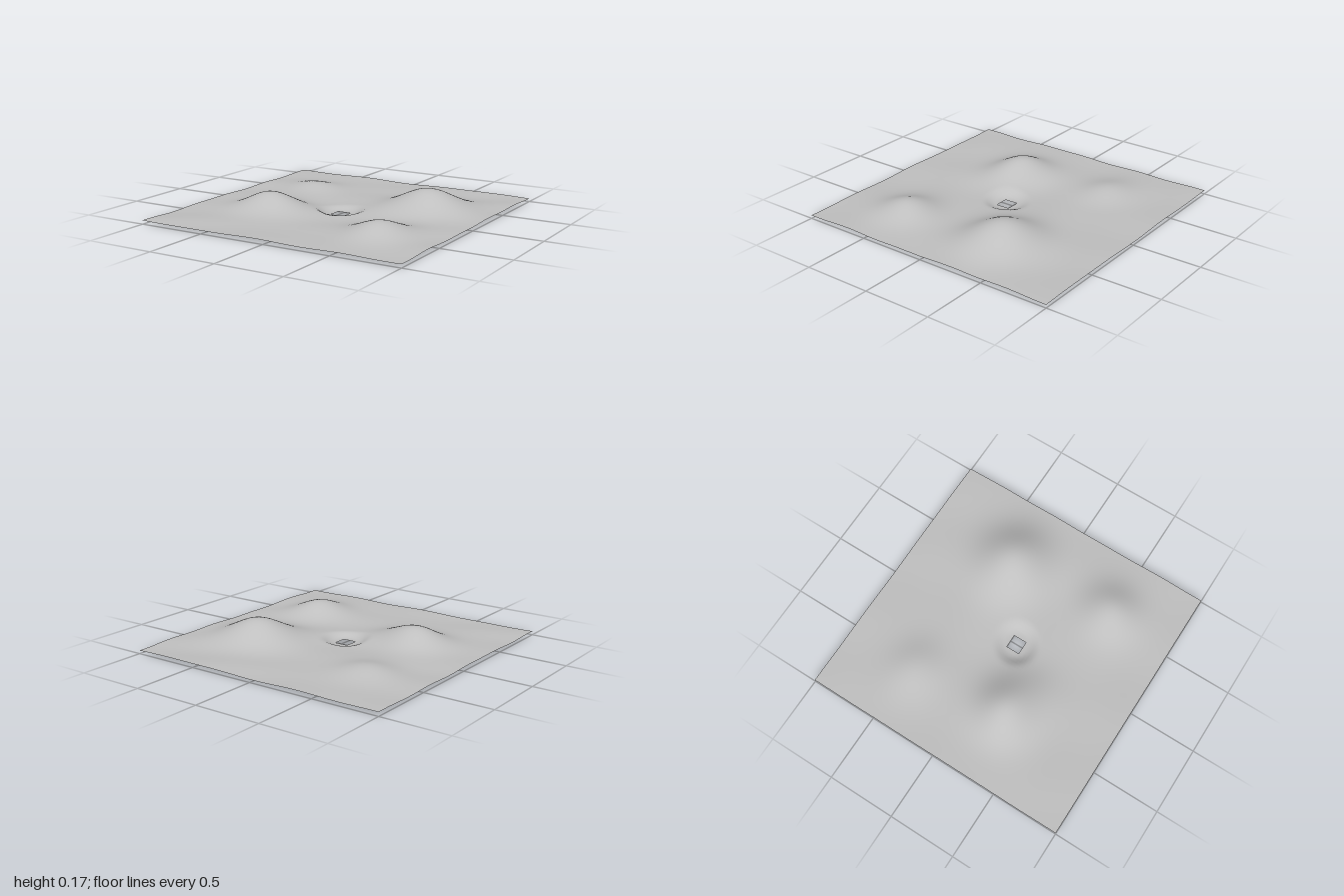
import * as THREE from 'three';

// Hills: centre x, centre z, height, spread in x, spread in z
const HILLS = [
  [0.51, -0.3, 0.147, 0.2, 0.18],
  [-0.48, 0.25, 0.114, 0.155, 0.15],
  [-0.25, 0.32, 0.03, 0.14, 0.15],
  [0.57, 0.5, 0.097, 0.145, 0.15],
  [-0.53, -0.45, 0.055, 0.15, 0.13],
];
const PIT = { x: 0, z: 0.05, inner: 0.08, outer: 0.18 };
const HOLE = 0.05; // half width of the square opening

// Ground height: gentle ripples, hills, and a round pit sinking to zero
function groundHeight(x, z) {
  let y = 0.026
    + 0.004 * Math.sin(9 * x + 2 * z + 0.5) * Math.cos(7 * z - 1.5 * x)
    + 0.002 * Math.sin(14 * z + 5 * x);
  for (const [cx, cz, h, sx, sz] of HILLS) {
    y += h * Math.exp(-0.5 * (((x - cx) / sx) ** 2 + ((z - cz) / sz) ** 2));
  }
  const r = Math.hypot(x - PIT.x, z - PIT.z);
  return y * THREE.MathUtils.smoothstep(r, PIT.inner, PIT.outer);
}

export function createModel() {
  const group = new THREE.Group();
  group.name = 'terrain';
  const ground = new THREE.MeshStandardMaterial({ color: 0xc0c0c0, side: THREE.DoubleSide });
  ground.name = 'ground grey';

  // Height field sheet
  const geometry = new THREE.PlaneGeometry(2, 2, 80, 80).rotateX(-Math.PI / 2);
  const pos = geometry.attributes.position;
  for (let i = 0; i < pos.count; i++) {
    pos.setY(i, groundHeight(pos.getX(i), pos.getZ(i)));
  }
  geometry.computeVertexNormals();

  // Leave out the triangles inside the square opening
  const kept = [];
  const index = geometry.index.array;
  for (let i = 0; i < index.length; i += 3) {
    const tri = [index[i], index[i + 1], index[i + 2]];
    const cx = tri.reduce((s, v) => s + pos.getX(v), 0) / 3;
    const cz = tri.reduce((s, v) => s + pos.getZ(v), 0) / 3;
    const inHole = Math.abs(cx - PIT.x) < HOLE && Math.abs(cz - PIT.z) < HOLE;
    if (!inHole) kept.push(...tri);
  }
  geometry.setIndex(kept);

  const sheet = new THREE.Mesh(geometry, ground);
  sheet.name = 'hillyGround';
  group.add(sheet);
  return group;
}
